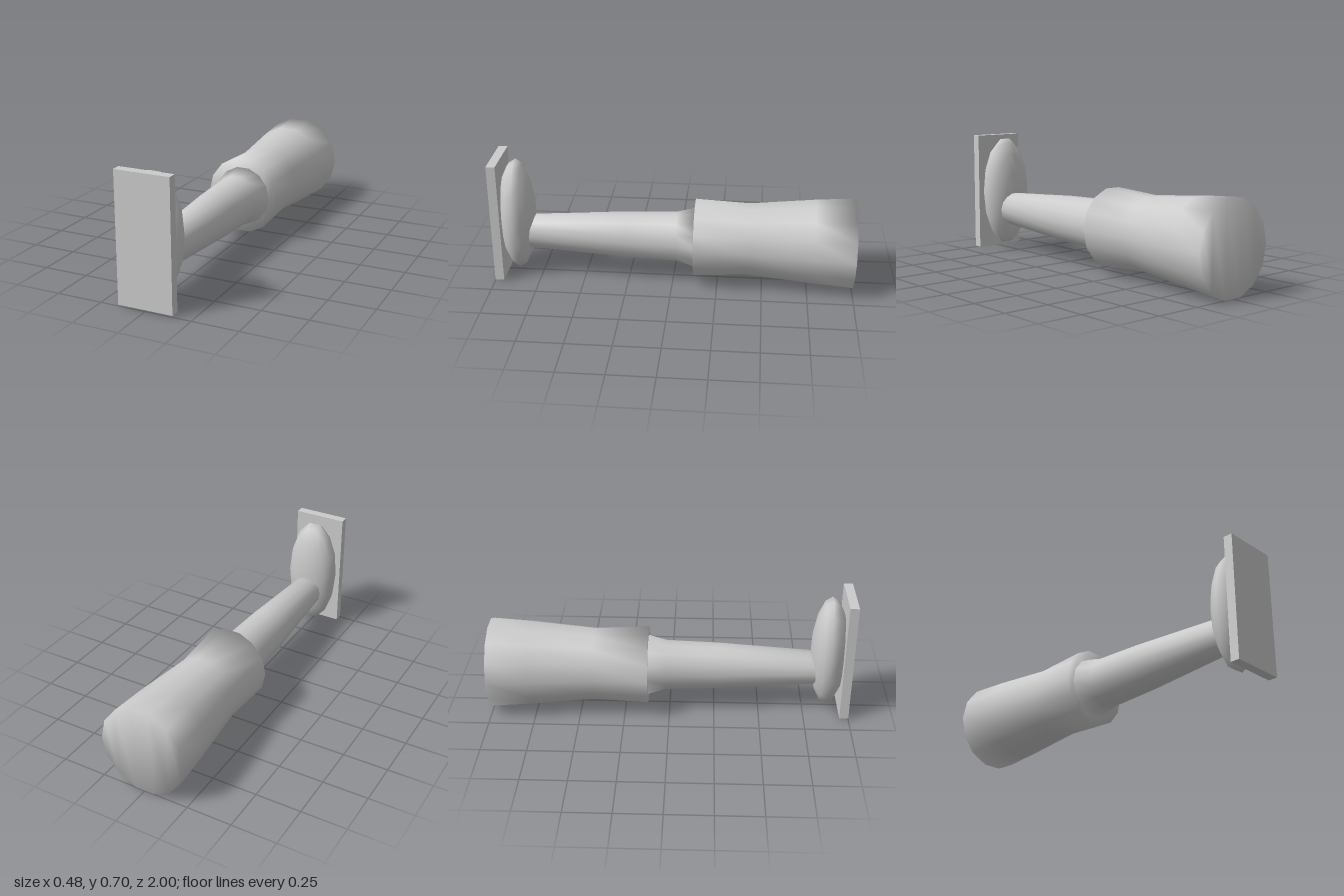
import * as THREE from 'three';

const SIDES = 14;

// Closed smooth tube along z from rings [z, centreY, radiusX, radiusY], ordered back to front.
// Caps share the rim vertices, so the ends shade softly.
function loft(rings) {
  const positions = [], index = [];
  for (const [z, cy, rx, ry] of rings) {
    for (let i = 0; i < SIDES; i++) {
      const a = (i / SIDES) * Math.PI * 2;
      positions.push(rx * Math.cos(a), cy + ry * Math.sin(a), z);
    }
  }
  for (let r = 0; r < rings.length - 1; r++) {
    for (let i = 0; i < SIDES; i++) {
      const j = (i + 1) % SIDES;
      const a = r * SIDES + i, b = r * SIDES + j;
      index.push(a, b, b + SIDES, a, b + SIDES, a + SIDES);
    }
  }
  // End caps, split in strips across the ring
  const last = (rings.length - 1) * SIDES;
  const cap = (base, front) => {
    const tri = (a, b, c) => index.push(base + a, base + (front ? b : c), base + (front ? c : b));
    for (let lo = 0, hi = SIDES - 1; lo + 1 < hi; lo++, hi--) {
      tri(lo, lo + 1, hi);
      if (lo + 1 < hi - 1) tri(lo + 1, hi - 1, hi);
    }
  };
  cap(0, false);
  cap(last, true);
  const geometry = new THREE.BufferGeometry();
  geometry.setAttribute('position', new THREE.Float32BufferAttribute(positions, 3));
  geometry.setIndex(index);
  geometry.computeVertexNormals();
  return geometry;
}

export function createModel() {
  const group = new THREE.Group();
  group.name = 'armWithPlate';
  const grey = new THREE.MeshStandardMaterial({ color: 0xcccccc });
  grey.name = 'light grey';

  const add = (name, geometry) => {
    const mesh = new THREE.Mesh(geometry, grey);
    mesh.name = name;
    group.add(mesh);
    return mesh;
  };

  // Wide sleeve with a slight waist
  add('sleeve', loft([
    [-1, 0.2485, 0.242, 0.255],
    [-0.78, 0.25, 0.229, 0.239],
    [-0.42, 0.25, 0.195, 0.205],
    [-0.12, 0.25, 0.208, 0.22],
  ]));

  // Tapering forearm with a flared root
  add('forearm', loft([
    [-0.14, 0.248, 0.168, 0.175],
    [-0.02, 0.25, 0.131, 0.143],
    [0.27, 0.25, 0.12, 0.133],
    [0.82, 0.25, 0.087, 0.097],
  ]));

  // Flattened oval palm
  const palm = new THREE.SphereGeometry(1, SIDES, 8);
  palm.rotateX(Math.PI / 2);
  palm.scale(0.15, 0.33, 0.1);
  add('palm', palm).position.set(0, 0.355, 0.88);

  // Flat plate at the front
  add('plate', new THREE.BoxGeometry(0.3, 0.692, 0.05)).position.set(0, 0.353, 0.975);

  return group;
}
